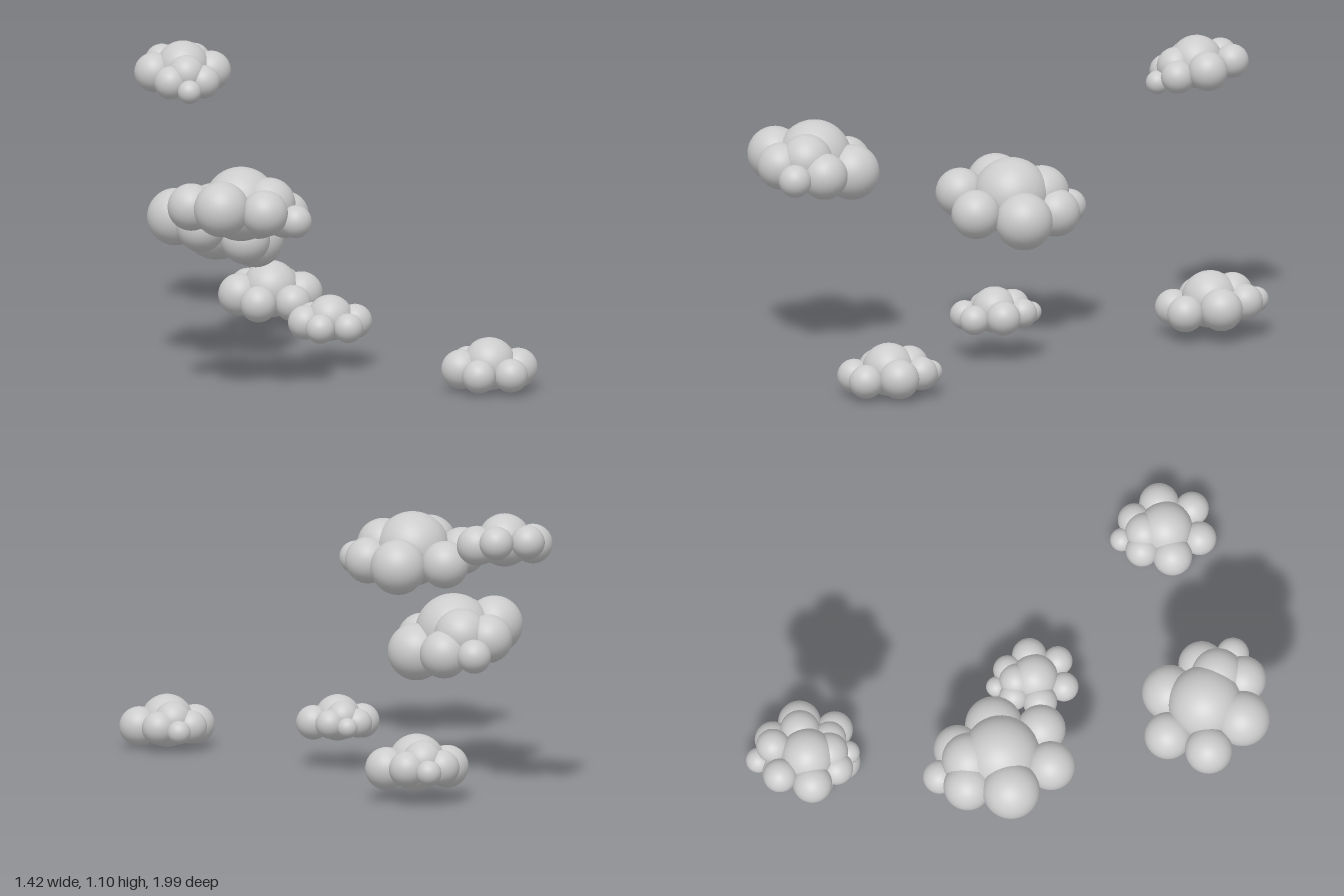
import * as THREE from 'three';

// Puffs of one cloud of unit scale: [name, x, y, z, radius]; mirrored ones repeat at -x
const PUFFS = [
  ['core', 0, 0.018, 0, 0.102],
  ['rearCrown', 0, 0.03, -0.085, 0.073],
  ['tail', 0, -0.005, -0.173, 0.045],
];
const MIRRORED_PUFFS = [
  ['sidePuff', 0.111, 0, 0, 0.076],
  ['frontPuff', 0.062, -0.01, 0.118, 0.065],
  ['rearPuff', 0.063, 0.006, -0.108, 0.064],
];

// Placement of each cloud: position, scale, and pitch / yaw / roll
const CLOUDS = [
  { name: 'frontLeftCloud', at: [0.517, 0.085, 0.793], scale: 1.0, turn: [0, 0.02, 0] },
  { name: 'smallMiddleCloud', at: [0, 0.172, 0.166], scale: 0.87, turn: [0, 0, 0] },
  { name: 'lowRearCloud', at: [-0.084, 0.125, -0.748], scale: 1.08, turn: [0.05, 0, 0] },
  { name: 'largeMiddleCloud', at: [-0.41, 0.512, -0.05], scale: 1.45, turn: [-0.12, 0.04, -0.3] },
  { name: 'frontRightCloud', at: [-0.442, 0.717, 0.741], scale: 1.4, turn: [-0.07, -2.22, 0.175] },
  { name: 'highRearCloud', at: [-0.413, 0.986, -0.82], scale: 1.0, turn: [-0.28, Math.PI, 0] },
];

export function createModel() {
  const model = new THREE.Group();
  model.name = 'clouds';
  const material = new THREE.MeshStandardMaterial({ color: 0xcccccc });
  const sphere = new THREE.SphereGeometry(1, 32, 20);

  const addPuff = (cloud, name, x, y, z, radius) => {
    const puff = new THREE.Mesh(sphere, material);
    puff.name = name;
    puff.position.set(x, y, z);
    puff.scale.setScalar(radius);
    cloud.add(puff);
  };

  for (const { name, at, scale, turn } of CLOUDS) {
    const cloud = new THREE.Group();
    cloud.name = name;
    for (const puff of PUFFS) addPuff(cloud, ...puff);
    for (const [part, x, y, z, radius] of MIRRORED_PUFFS) {
      addPuff(cloud, part + 'Left', x, y, z, radius);
      addPuff(cloud, part + 'Right', -x, y, z, radius);
    }
    cloud.position.set(...at);
    cloud.rotation.set(...turn, 'YXZ');
    cloud.scale.setScalar(scale);
    model.add(cloud);
  }
  return model;
}
